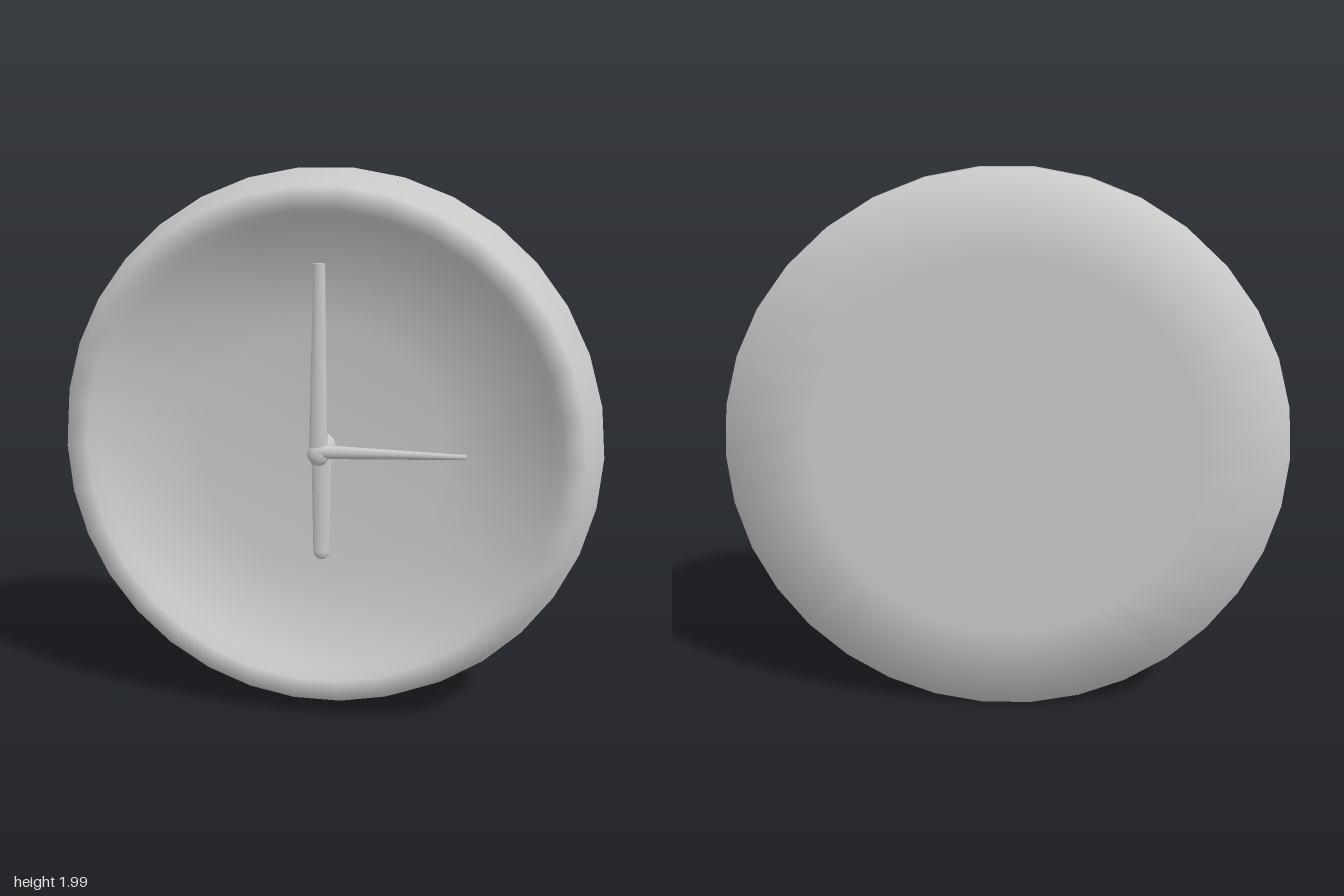
import * as THREE from 'three';

const SIDES = 34;
const CENTER_Y = 0.996;

// Lathe whose normals blend neighbouring bands evenly, for softly rounded edges
function softLathe(points, sides) {
  const geometry = new THREE.LatheGeometry(points, sides, Math.PI / 2);
  const faceNormals = points.slice(1).map((p, i) => {
    const d = p.clone().sub(points[i]).normalize();
    return new THREE.Vector2(d.y, -d.x);
  });
  const blended = points.map((_, i) => {
    const before = faceNormals[Math.max(i - 1, 0)];
    const after = faceNormals[Math.min(i, faceNormals.length - 1)];
    return before.clone().add(after).normalize();
  });
  const normal = geometry.attributes.normal;
  for (let i = 0; i < normal.count; i++) {
    const angle = Math.PI / 2 + Math.floor(i / points.length) * 2 * Math.PI / sides;
    const n = blended[i % points.length];
    normal.setXYZ(i, n.x * Math.sin(angle), n.y, n.x * Math.cos(angle));
  }
  return geometry;
}

export function createModel() {
  const model = new THREE.Group();
  const material = new THREE.MeshStandardMaterial({ color: 0xcccccc });

  const add = (name, geometry, parent) => {
    const mesh = new THREE.Mesh(geometry, material);
    mesh.name = name;
    parent.add(mesh);
    return mesh;
  };

  const clock = new THREE.Group();
  clock.name = 'clock';
  clock.position.y = CENTER_Y;
  model.add(clock);

  // Case: back plate, two stepped bands, front lip and shallow bowl dial (radius, z)
  const bowl = [0.825, 0.45, 0.2, 0].map((r) => [r, -0.01 + 0.09 * r * r]);
  const profile = [
    [0, -0.105], [0.7, -0.105], [1, -0.105], [1, -0.05],
    [0.97, -0.05], [0.97, 0.022], [0.935, 0.025], [0.935, 0.105],
    [0.858, 0.105], ...bowl,
  ].map(([r, z]) => new THREE.Vector2(r, z));
  const caseGeometry = softLathe(profile, SIDES);
  caseGeometry.rotateX(Math.PI / 2);
  add('caseAndDial', caseGeometry, clock);

  // Hands: tapered bars from a base point to a tip point, flattened in depth
  const addHand = (name, base, tip, baseRadius, tipRadius, depth) => {
    const from = new THREE.Vector3(...base);
    const to = new THREE.Vector3(...tip);
    const length = from.distanceTo(to);
    const geometry = new THREE.CylinderGeometry(tipRadius, baseRadius, length, 10);
    geometry.scale(1, 1, depth);
    const hand = add(name, geometry, clock);
    hand.position.copy(from).add(to).multiplyScalar(0.5);
    hand.quaternion.setFromUnitVectors(
      new THREE.Vector3(0, 1, 0), to.sub(from).normalize());
  };
  addHand('minuteHand', [0, -0.02, 0.075], [0.003, 0.675, 0.068], 0.035, 0.021, 0.6);
  addHand('secondHand', [0, 0.012, 0.08], [0.525, 0.014, 0.08], 0.026, 0.009, 0.8);
  addHand('hourHand', [0.002, 0.03, 0.012], [0.002, -0.38, 0.028], 0.04, 0.03, 0.5);

  // Rounded end of the hour hand
  const handTip = add('hourHandTip', new THREE.SphereGeometry(0.03, 10, 6), clock);
  handTip.position.set(0.002, -0.378, 0.028);
  handTip.scale.z = 0.5;

  // Spindle flaring onto the dial, and the cap joining the hands
  const spindle = new THREE.CylinderGeometry(0.03, 0.048, 0.085, 12);
  spindle.rotateX(Math.PI / 2);
  add('spindle', spindle, clock).position.set(0.002, 0.015, 0.032);
  const cap = add('spindleCap', new THREE.SphereGeometry(0.04, 12, 8), clock);
  cap.position.set(0, 0, 0.078);
  cap.scale.z = 0.6;

  return model;
}
